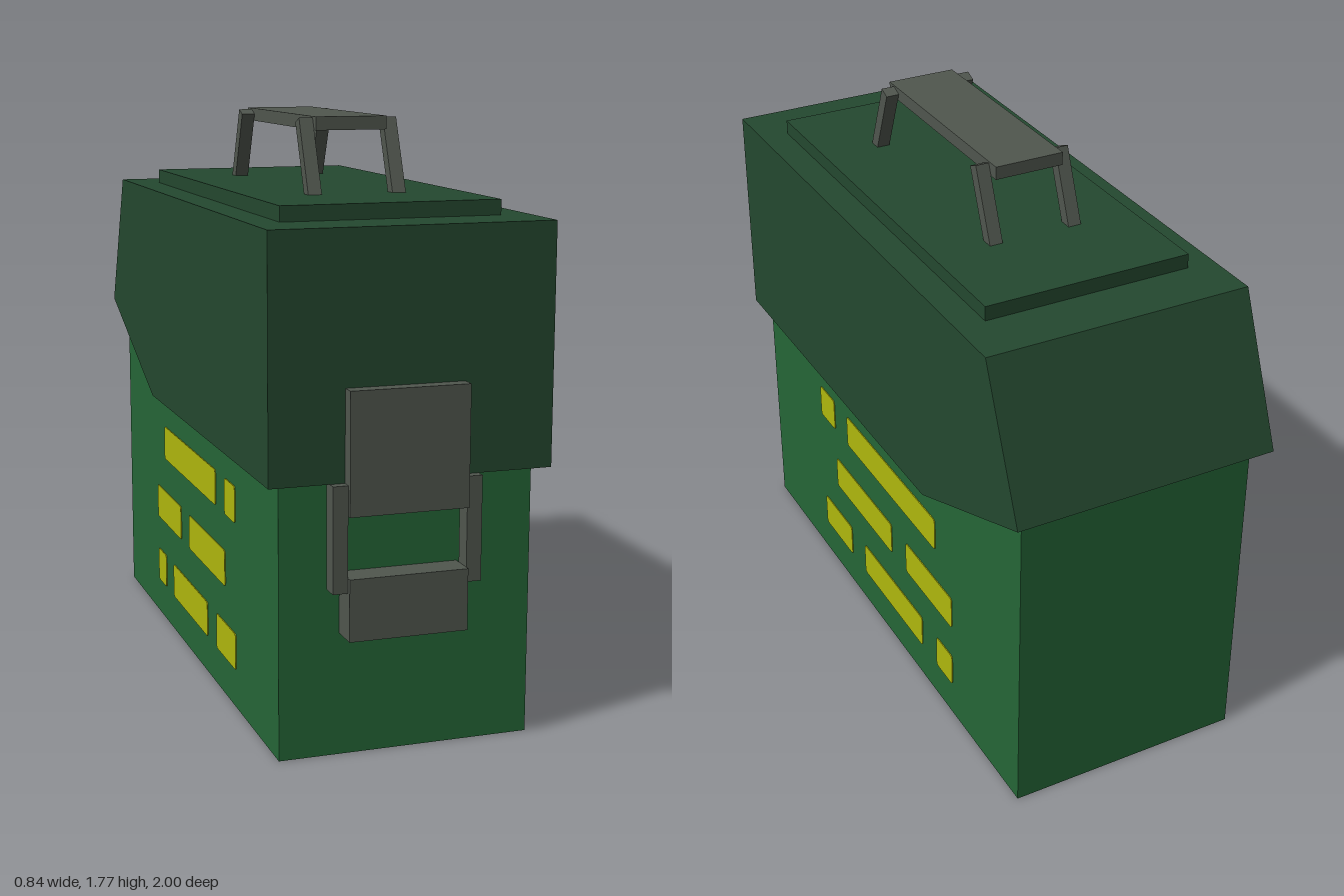
import * as THREE from 'three';

const material = (name, color, side = THREE.FrontSide) => {
  const m = new THREE.MeshStandardMaterial({ color, side });
  m.name = name;
  return m;
};

export function createModel() {
  const model = new THREE.Group();
  model.name = 'ammoBox';
  const bodyGreen = material('bodyGreen', 0x256637);
  const lidGreen = material('lidGreen', 0x24482f);
  const metal = material('metalGrey', 0x50564e);
  const yellow = material('markingYellow', 0xb0b80d);

  const add = (name, geometry, mat, parent = model) => {
    const mesh = new THREE.Mesh(geometry, mat);
    mesh.name = name;
    parent.add(mesh);
    return mesh;
  };
  const group = (name) => {
    const g = new THREE.Group();
    g.name = name;
    model.add(g);
    return g;
  };
  // Box given by its minimum and maximum on each axis
  const box = (name, [x0, x1], [y0, y1], [z0, z1], mat, parent) => {
    const mesh = add(name, new THREE.BoxGeometry(x1 - x0, y1 - y0, z1 - z0), mat, parent);
    mesh.position.set((x0 + x1) / 2, (y0 + y1) / 2, (z0 + z1) / 2);
    return mesh;
  };

  // Body
  box('body', [-0.378, 0.378], [0, 1.1], [-0.942, 0.912], bodyGreen);

  // Lid: side profile (z, y) extruded across the width
  const profile = [[0.957, 0.803], [0.957, 1.505], [-0.81, 1.505], [-0.998, 1.055], [-0.4, 0.803]];
  const lidShape = new THREE.Shape(profile.map(([z, y]) => new THREE.Vector2(z, y)));
  const lid = new THREE.ExtrudeGeometry(lidShape, { depth: 0.84, bevelEnabled: false });
  lid.translate(0, 0, -0.42).rotateY(-Math.PI / 2);
  add('lid', lid, lidGreen);
  box('lidPanel', [-0.33, 0.33], [1.5, 1.55], [-0.637, 0.777], lidGreen);

  // Carrying handle: flat grip on four slanted legs
  const handle = group('handle');
  box('grip', [-0.11, 0.11], [1.733, 1.773], [-0.285, 0.428], metal, handle);
  const middle = 0.078, tilt = Math.atan2(0.085, 0.21);
  for (const sx of [-1, 1]) {
    for (const sz of [-1, 1]) {
      const leg = add('handleLeg', new THREE.BoxGeometry(0.042, 0.25, 0.038), metal, handle);
      leg.position.set(sx * 0.131, 1.646, middle + sz * 0.348);
      leg.rotation.x = -sz * tilt;
    }
  }

  // Front latch
  const latch = group('latch');
  box('upperPlate', [-0.2, 0.152], [0.716, 1.068], [0.91, 1], metal, latch);
  box('lowerPlate', [-0.2, 0.152], [0.36, 0.54], [0.91, 1], metal, latch);
  for (const [x0, x1] of [[-0.244, -0.2], [0.152, 0.197]]) {
    box('latchArm', [x0, x1], [0.497, 0.803], [0.93, 0.985], metal, latch);
  }

  // Painted bars on both sides: [z start, z end, y bottom]
  const bars = [
    [0.365, 0.48, 0.58], [-0.4, 0.26, 0.58],
    [-0.075, 0.365, 0.35], [-0.51, -0.183, 0.35],
    [0.26, 0.48, 0.12], [-0.295, 0.15, 0.12], [-0.51, -0.4, 0.12],
  ];
  const h = 0.113, r = 0.012;
  const markings = group('markings');
  for (const side of [-1, 1]) {
    for (const [z0, z1, y] of bars) {
      const w = z1 - z0;
      const s = new THREE.Shape();
      s.moveTo(r, 0).lineTo(w - r, 0).quadraticCurveTo(w, 0, w, r);
      s.lineTo(w, h - r).quadraticCurveTo(w, h, w - r, h);
      s.lineTo(r, h).quadraticCurveTo(0, h, 0, h - r);
      s.lineTo(0, r).quadraticCurveTo(0, 0, r, 0);
      const plate = new THREE.ExtrudeGeometry(s, { depth: 0.004, bevelEnabled: false, curveSegments: 3 });
      plate.translate(-w / 2, 0, -0.002);
      const mesh = add('markingBar', plate, yellow, markings);
      mesh.rotation.y = side * Math.PI / 2;
      mesh.position.set(side * 0.379, y, (z0 + z1) / 2);
    }
  }
  return model;
}
